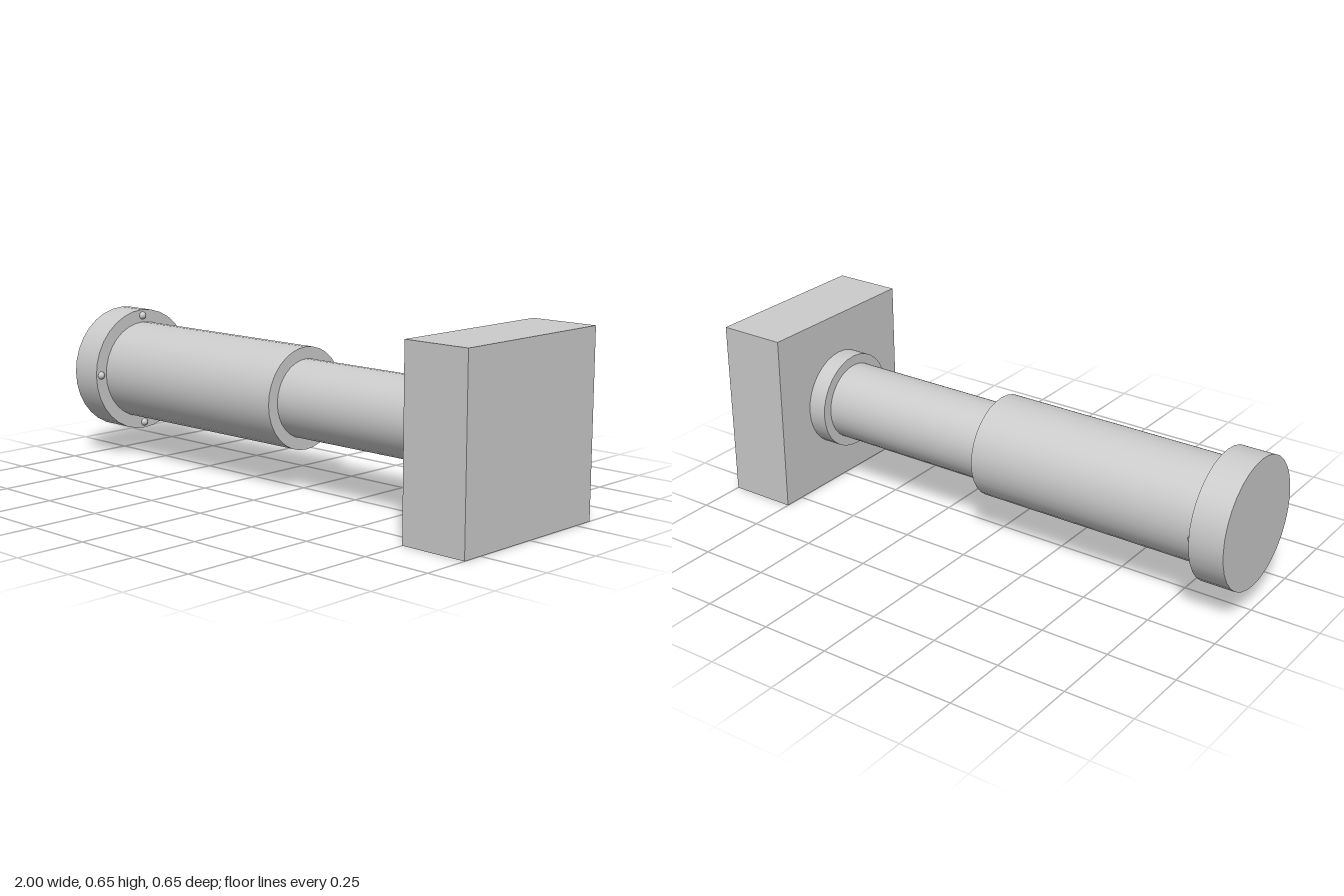
import * as THREE from 'three';

const AXIS_Y = 0.327;

export function createModel() {
  const group = new THREE.Group();
  const material = new THREE.MeshStandardMaterial({ color: 0xcccccc });

  const add = (name, geometry, x, y = AXIS_Y, z = 0) => {
    const mesh = new THREE.Mesh(geometry, material);
    mesh.name = name;
    mesh.position.set(x, y, z);
    group.add(mesh);
  };

  // Cylinder lying along x between two ends
  const addRound = (name, radius, x0, x1) => {
    const geometry = new THREE.CylinderGeometry(radius, radius, x1 - x0, 32);
    geometry.rotateZ(-Math.PI / 2);
    add(name, geometry, (x0 + x1) / 2);
  };

  // Shaft sections from the end flange to the block
  addRound('endFlange', 0.233, -1, -0.875);
  addRound('outerSleeve', 0.185, -0.875, 0.01);
  addRound('innerRod', 0.142, 0.01, 0.68);
  addRound('collar', 0.178, 0.68, 0.75);

  // Square mounting block
  add('mountingBlock', new THREE.BoxGeometry(0.25, 0.654, 0.654), 0.875);

  // Four round bolt heads on the inner face of the flange
  for (let i = 0; i < 4; i++) {
    const angle = (i * Math.PI) / 2;
    add('boltHead', new THREE.SphereGeometry(0.015, 16, 12), -0.876,
      AXIS_Y + 0.21 * Math.cos(angle), 0.21 * Math.sin(angle));
  }

  return group;
}
